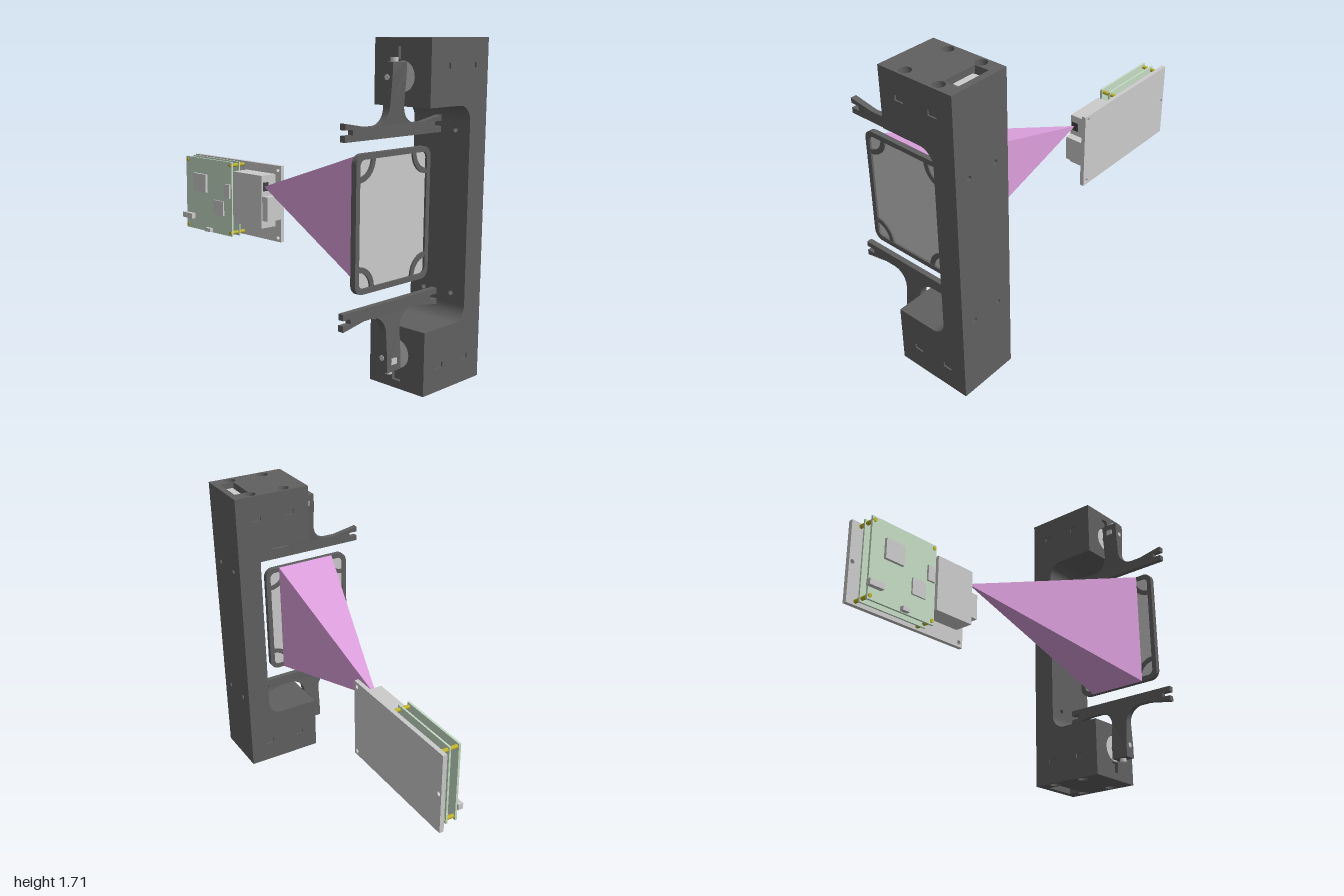
import * as THREE from 'three';

const mat = (color) => new THREE.MeshStandardMaterial({ color });
const GREY = mat(0xcccccc), DARK = mat(0x606060), PINK = mat(0xdda0dd);
const GREEN = mat(0xc4dcc4), YELLOW = mat(0xc0b428), BLACK = mat(0x404040);
const H = 1.71, CX = 0.825, LENS_Z = 0.0775;

export function createModel() {
  const model = new THREE.Group();
  const add = (parent, name, geo, material) => {
    const m = new THREE.Mesh(geo, material);
    m.name = name;
    parent.add(m);
    return m;
  };
  const group = (name) => {
    const g = new THREE.Group();
    g.name = name;
    model.add(g);
    return g;
  };
  // Box given by its limits
  const box = (p, name, x0, x1, y0, y1, z0, z1, material) =>
    add(p, name, new THREE.BoxGeometry(x1 - x0, y1 - y0, z1 - z0)
      .translate((x0 + x1) / 2, (y0 + y1) / 2, (z0 + z1) / 2), material);
  const poly = (pts) => new THREE.Shape(pts.map(([u, v]) => new THREE.Vector2(u, v)));
  const rect = (u0, u1, v0, v1) => poly([[u0, v0], [u1, v0], [u1, v1], [u0, v1]]);
  const circle = (u, v, r) => new THREE.Shape().absarc(u, v, r, 0, Math.PI * 2);
  const arc = (u, v, r, a0, a1, n = 10) => Array.from({ length: n + 1 }, (_, i) => {
    const a = a0 + (a1 - a0) * i / n;
    return [u + r * Math.cos(a), v + r * Math.sin(a)];
  });
  const roundRect = (u0, u1, v0, v1, r) => poly([
    ...arc(u1 - r, v1 - r, r, 0, Math.PI / 2), ...arc(u0 + r, v1 - r, r, Math.PI / 2, Math.PI),
    ...arc(u0 + r, v0 + r, r, Math.PI, Math.PI * 1.5), ...arc(u1 - r, v0 + r, r, Math.PI * 1.5, Math.PI * 2)]);
  const extrude = (shape, a, b, holes) => {
    shape.holes.push(...holes);
    return new THREE.ExtrudeGeometry(shape, { depth: b - a, bevelEnabled: false, curveSegments: 16 });
  };
  // Extrusions along each axis: X takes (z, y), Y takes (x, z), Z takes (x, y)
  const alongX = (s, a, b, holes = []) => extrude(s, a, b, holes).rotateY(-Math.PI / 2).translate(b, 0, 0);
  const alongY = (s, a, b, holes = []) => extrude(s, a, b, holes).rotateX(Math.PI / 2).translate(0, b, 0);
  const alongZ = (s, a, b, holes = []) => extrude(s, a, b, holes).translate(0, 0, a);

  // C-shaped holder
  const holder = group('holder');
  const X0 = 0.655, X1 = 0.995, ZB = -0.42, ZF = 0.02, ZS = -0.29, LO = 0.32, HI = H - LO, R = 0.08, T = 0.008;
  for (const [a, b] of [[X0, X0 + T], [X1 - T, X1]]) {
    const side = poly([[ZB, 0], [ZF, 0], [ZF, LO],
      ...arc(ZS + R, LO + R, R, Math.PI * 1.5, Math.PI), ...arc(ZS + R, HI - R, R, Math.PI, Math.PI / 2),
      [ZF, HI], [ZF, H], [ZB, H]]);
    const slots = [];
    for (const z of [-0.1, -0.3]) for (const y of [0.13, H - 0.13])
      slots.push(rect(z - 0.026, z + 0.026, y - 0.014, y + 0.014));
    add(holder, 'holderSide', alongX(side, a, b, slots), DARK);
  }
  const boltHoles = [0.74, 0.91].flatMap((x) => [0.445, H - 0.445].map((y) => circle(x, y, 0.013)));
  add(holder, 'holderSpine', alongZ(rect(X0 + T, X1 - T, LO, HI), ZB, ZS, boltHoles), DARK);

  for (const top of [false, true]) {
    const Y = (v) => (top ? v : H - v);            // mirrors the upper half downwards
    const span = (a, b) => (top ? [a, b] : [H - b, H - a]);
    const xa = X0 + T, xb = X1 - T;
    box(holder, 'holderBlock', xa, xb, ...span(HI, 1.66), ZB, 0, DARK);
    add(holder, 'holderFillet', alongX(poly([[ZS, Y(HI)],
      ...arc(ZS + R, HI - R, R, Math.PI / 2, Math.PI).map(([z, y]) => [z, Y(y)])]), xa, xb), DARK);

    // End cap with motor pocket and counterbored bolts
    const bolts = [0.695, 0.955].flatMap((x) => [-0.31, -0.11].map((z) => [x, z]));
    add(holder, 'endCap', alongY(rect(xa, xb, ZB, 0), ...span(1.66, H),
      [rect(0.73, 0.92, -0.385, -0.305), ...bolts.map(([x, z]) => circle(x, z, 0.03))]), DARK);
    for (const [x, z] of bolts)
      add(holder, 'bolt', new THREE.CylinderGeometry(0.016, 0.016, 0.03, 16).translate(x, Y(1.67), z), DARK);
    box(holder, 'motorBody', 0.732, 0.918, ...span(1.655, 1.668), -0.383, -0.307, GREY);
    box(holder, 'motorTop', 0.765, 0.888, ...span(1.66, 1.69), -0.37, -0.325, GREY);

    // Front plate with the round motor opening and a slot
    add(holder, 'frontPlate', alongZ(rect(xa, xb, ...span(HI, H)), 0, ZF,
      [circle(CX, Y(1.53), 0.075), rect(CX - 0.026, CX + 0.026, ...span(1.61, 1.67))]), DARK);
    const turn = (r, z0, z1) => new THREE.CylinderGeometry(r, r, z1 - z0, 28)
      .rotateX(Math.PI / 2).translate(CX, Y(1.53), (z0 + z1) / 2);
    add(holder, 'motorDisc', turn(0.074, 0, 0.014), GREY);

    // Forked arm, thicker towards the hub
    const arm = group(top ? 'upperArm' : 'lowerArm');
    const half = [[0.05, 1.6], [0.05, 1.54], ...arc(0.14, 1.4, 0.09, Math.PI, Math.PI * 1.5),
      [0.2, 1.31], [0.345, 1.335], [0.345, 1.305], [0.295, 1.305], [0.295, 1.28], [0.345, 1.28], [0.345, 1.25]];
    const outline = [...half, ...half.map(([u, v]) => [-u, v]).reverse()];
    const geo = alongX(poly(outline.map(([u, v]) => [LENS_Z + u, Y(v)])), -1, 1);
    const p = geo.attributes.position;
    for (let i = 0; i < p.count; i++) {
      const k = THREE.MathUtils.clamp((Y(p.getY(i)) - 1.31) / 0.23, 0, 1);
      p.setX(i, CX + p.getX(i) * (0.015 + 0.018 * k));
    }
    geo.computeVertexNormals();
    add(arm, 'fork', geo, DARK);
    add(arm, 'hubShaft', turn(0.018, 0.01, 0.04), DARK);
    add(arm, 'hubScrew', turn(0.014, 0.12, 0.13), GREY);
    add(arm, 'clampScrew', new THREE.CylinderGeometry(0.018, 0.018, 0.03, 16)
      .translate(CX, Y(1.605), LENS_Z), GREY);
    const nx = CX + (top ? -0.033 : 0.033);
    box(arm, 'clampNut', nx - 0.003, nx + 0.003, ...span(1.535, 1.565), 0.058, 0.097, GREY);
  }

  // Framed screen panel
  const panel = group('screenPanel');
  const P = { z0: -0.19, z1: 0.345, y0: 0.53, y1: 1.19 };
  add(panel, 'panelFrame', alongX(roundRect(P.z0, P.z1, P.y0, P.y1, 0.05), 0.81, 0.84,
    [roundRect(P.z0 + 0.027, P.z1 - 0.027, P.y0 + 0.027, P.y1 - 0.027, 0.03)]), DARK);
  box(panel, 'screen', 0.817, 0.829, P.y0 + 0.02, P.y1 - 0.02, P.z0 + 0.02, P.z1 - 0.02, GREY);
  [[P.z0, P.y0, 1, 1], [P.z1, P.y0, -1, 1], [P.z1, P.y1, -1, -1], [P.z0, P.y1, 1, -1]].forEach(([z, y, sz, sy], i) => {
    const a = i * Math.PI / 2, cz = z + sz * 0.024, cy = y + sy * 0.024;
    const strip = [...arc(cz, cy, 0.11, a, a + Math.PI / 2), ...arc(cz, cy, 0.083, a + Math.PI / 2, a)];
    add(panel, 'cornerArc', alongX(poly(strip), 0.812, 0.838), DARK);
  });

  // Light pyramid: a four-sided cone stretched onto its apex and base corners
  const beam = new THREE.BufferGeometry();
  const A = [-0.27, 0.865, -0.1];
  const B = [[0.53, -0.105], [0.53, 0.245], [1.19, 0.245], [1.19, -0.105]].map(([y, z]) => [0.81, y, z]);
  const tris = [];
  for (let i = 0; i < 4; i++) tris.push(A, B[i], B[(i + 1) % 4]);
  tris.push(B[0], B[2], B[1], B[0], B[3], B[2]);
  beam.setAttribute('position', new THREE.Float32BufferAttribute(tris.flat(), 3));
  beam.computeVertexNormals();
  const beamMat = PINK.clone();
  beamMat.side = THREE.DoubleSide;
  add(model, 'lightBeam', beam, beamMat);

  // Projector: base plate, stacked boards, optics
  const proj = group('projector');
  add(proj, 'basePlate', alongZ(rect(-1, -0.22, 0.535, 0.98), -0.208, -0.184,
    [[-0.245, 0.955], [-0.245, 0.56], [-0.98, 0.755]].map(([x, y]) => circle(x, y, 0.012))), GREY);
  for (const [z0, z1] of [[-0.144, -0.134], [-0.09, -0.078]])
    box(proj, 'circuitBoard', -0.96, -0.53, 0.535, 0.98, z0, z1, GREEN);
  for (const x of [-0.945, -0.545]) for (const y of [0.555, 0.96])
    add(proj, 'standoff', new THREE.CylinderGeometry(0.011, 0.011, 0.112, 12)
      .rotateX(Math.PI / 2).translate(x, y, -0.13), YELLOW);
  // Chips and connectors: x, y, width, height, front z
  for (const [x, y, w, h, z] of [[-0.815, 0.83, 0.12, 0.11, -0.062], [-0.645, 0.695, 0.088, 0.088, -0.068],
    [-0.565, 0.805, 0.048, 0.085, -0.066], [-0.925, 0.615, 0.09, 0.032, -0.052], [-0.733, 0.55, 0.045, 0.022, -0.054]])
    box(proj, 'chip', x - w / 2, x + w / 2, y - h / 2, y + h / 2, -0.08, z, GREY);
  box(proj, 'opticsHousing', -0.515, -0.265, 0.625, 0.93, -0.19, -0.075, GREY);
  box(proj, 'opticsSide', -0.27, -0.22, 0.67, 0.81, -0.19, -0.08, GREY);
  box(proj, 'opticsWindow', -0.27, -0.262, 0.84, 0.89, -0.125, -0.085, BLACK);

  return model;
}
